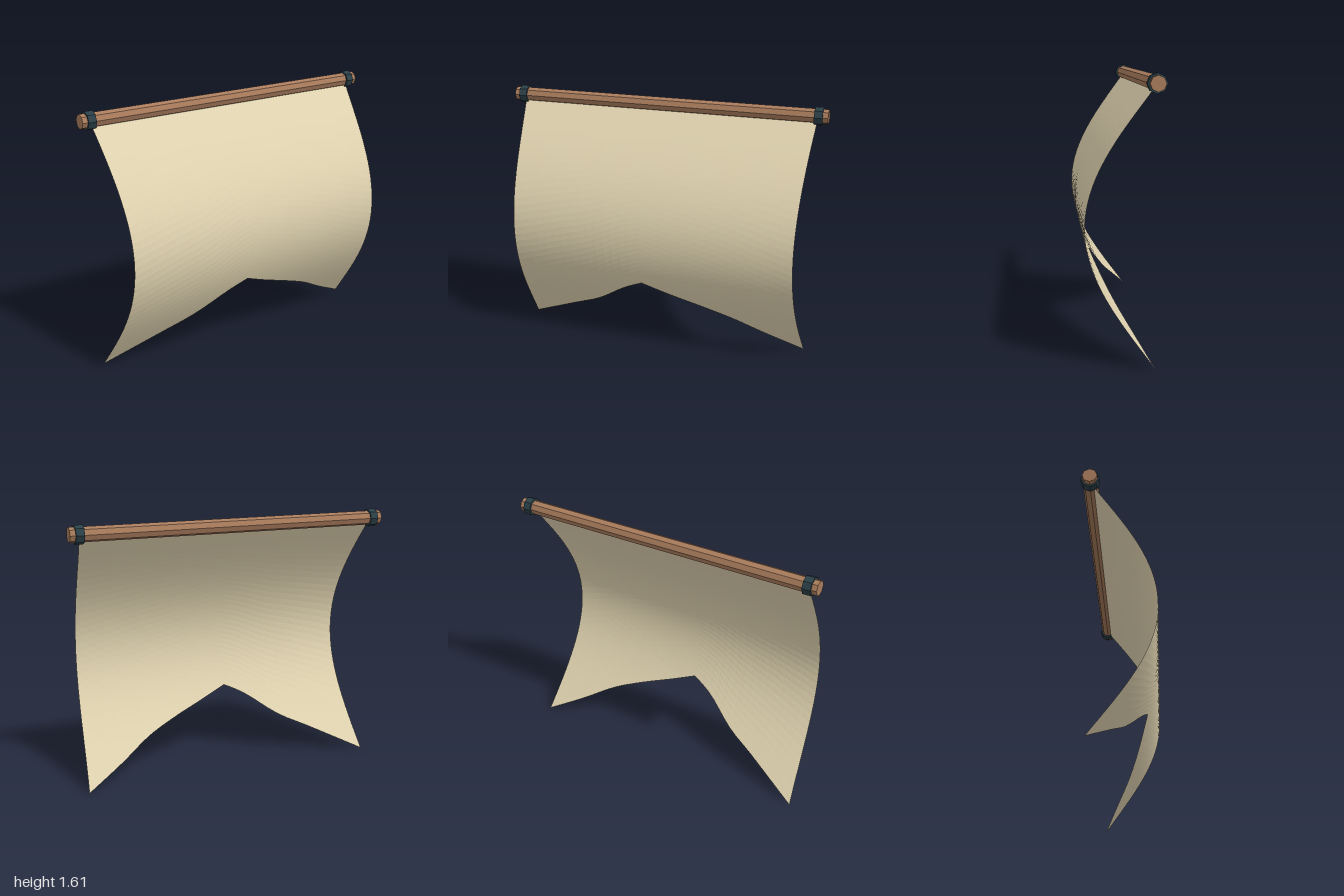
import * as THREE from 'three';

const POLE_Y = 1.555, POLE_Z = -0.16;

const material = (color, extra = {}) =>
  new THREE.MeshStandardMaterial({ color, flatShading: true, ...extra });

// Eight-sided bar lying along x on the pole's axis
function bar(name, radius, length, x, mat) {
  const geometry = new THREE.CylinderGeometry(radius, radius, length, 8).rotateZ(Math.PI / 2);
  const mesh = new THREE.Mesh(geometry, mat);
  mesh.position.set(x, POLE_Y, POLE_Z);
  mesh.name = name;
  return mesh;
}

// Billow of the cloth: depth and half width at a given height
const depth = (y) => {
  const d2 = (y - 0.777) ** 2;
  return 0.217 - 0.803 * d2 + 0.283 * d2 * d2;
};
const halfWidth = (y) => 0.895 + 0.045 * ((y - 0.78) / 0.78) ** 2;

function clothGeometry() {
  // Notched lower edge as two smooth runs meeting at a sharp peak
  const run = (points, n) =>
    new THREE.SplineCurve(points.map(([x, y]) => new THREE.Vector2(x, y))).getSpacedPoints(n);
  const left = run([[-0.94, 0], [-0.6, 0.165], [-0.4, 0.26], [-0.2, 0.4], [-0.065, 0.467]], 15);
  const right = run([[-0.065, 0.467], [0.1, 0.4], [0.3, 0.325], [0.5, 0.24], [0.7, 0.125], [0.94, 0]], 17);
  const hem = [...left, ...right.slice(1)];

  const cols = hem.length - 1, rows = 32, top = 1.54;
  const geometry = new THREE.PlaneGeometry(1, 1, cols, rows);
  const position = geometry.attributes.position;
  for (let j = 0; j <= rows; j++) {
    hem.forEach((p, i) => {
      const y = THREE.MathUtils.lerp(top, p.y, j / rows);
      const x = (p.x / halfWidth(p.y)) * halfWidth(y);
      position.setXYZ(j * (cols + 1) + i, x, y, depth(y));
    });
  }
  geometry.computeVertexNormals();
  return geometry;
}

export function createModel() {
  const model = new THREE.Group();
  model.name = 'hangingBanner';

  // Pole and the two bands that hold the cloth
  model.add(bar('pole', 0.044, 2, 0, material(0xa87b5c)));
  const bandMaterial = material(0x2b4048);
  for (const side of [1, -1]) {
    model.add(bar(side > 0 ? 'leftBand' : 'rightBand', 0.055, 0.05, side * 0.943, bandMaterial));
  }

  // Billowing cloth
  const cloth = new THREE.Mesh(clothGeometry(), material(0xe0d3b0, { side: THREE.DoubleSide }));
  cloth.name = 'cloth';
  model.add(cloth);

  return model;
}
